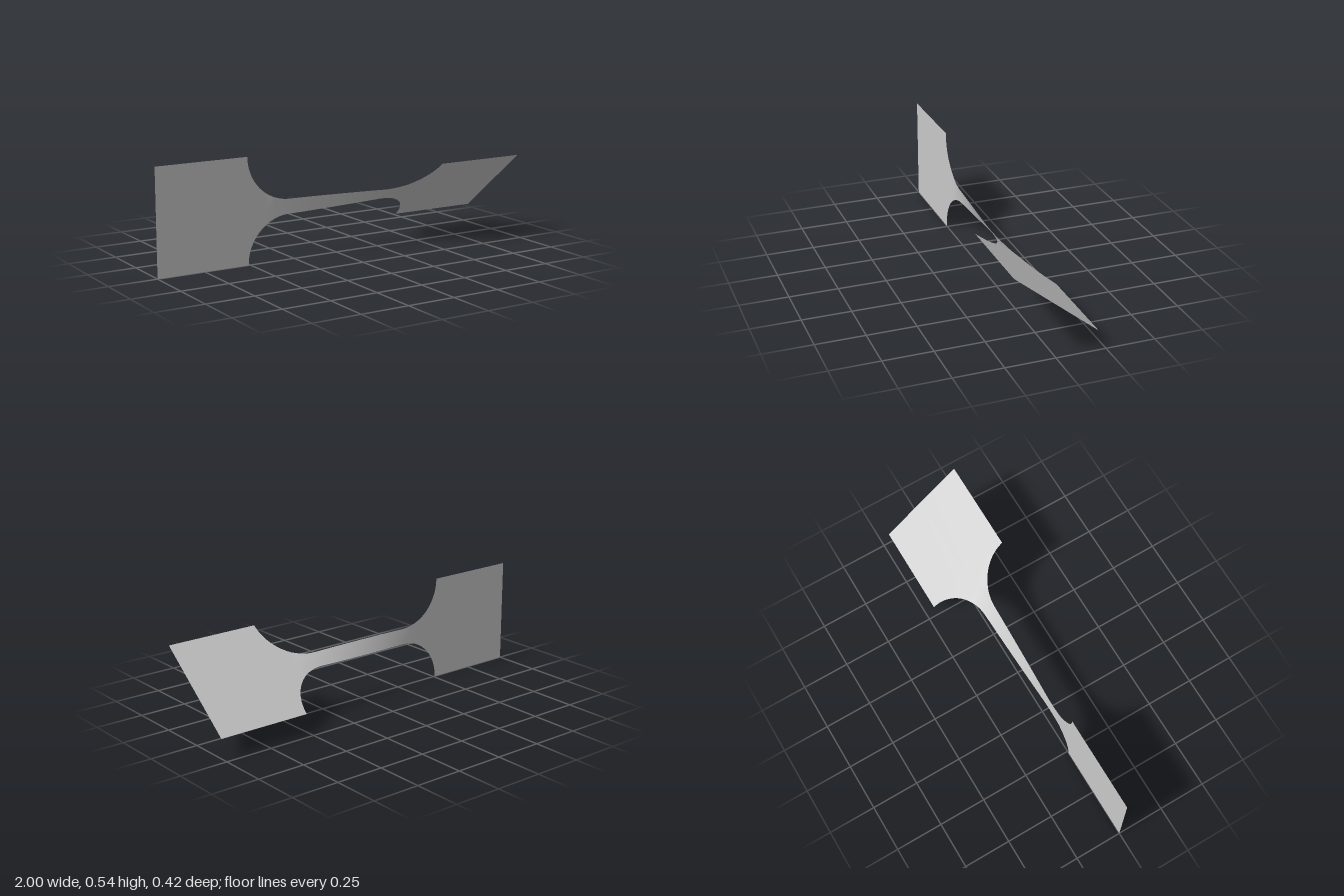
import * as THREE from 'three';

const GRIP = 0.271;   // half width of the end plates
const NECK = 0.04;    // half width of the slim middle
const FILLET = GRIP - NECK;
const FILLET_X = 0.278; // where the neck starts to flare
const TWIST = THREE.MathUtils.degToRad(51);

// Turn of the strip about its long axis: constant at both plates, even between
const twistAt = (x) => TWIST * THREE.MathUtils.clamp((x + 0.4) / 0.8, 0, 1);

// [x, half width] stations from the left end of the strip to the right end
function stations() {
  const half = [[1, GRIP]];
  const steps = 32;
  for (let i = 0; i <= steps; i++) {
    const a = (i / steps) * Math.PI / 2;
    half.push([FILLET_X + FILLET * Math.cos(a), GRIP - FILLET * Math.sin(a)]);
  }
  const list = half.map(([x, w]) => [-x, w]);
  const neckSteps = 32;
  for (let i = 1; i < neckSteps; i++) list.push([-FILLET_X + 2 * FILLET_X * i / neckSteps, NECK]);
  return list.concat(half.reverse());
}

// Thin sheet swept through the stations, each section turned by the twist
function twistedStrip() {
  const columns = 6;
  const pos = [], index = [];
  const list = stations();
  list.forEach(([x, w], i) => {
    const t = twistAt(x);
    for (let j = 0; j <= columns; j++) {
      const s = w * (2 * j / columns - 1);
      pos.push(x, GRIP + s * Math.cos(t), s * Math.sin(t));
      if (i < list.length - 1 && j < columns) {
        const a = i * (columns + 1) + j, b = a + columns + 1;
        index.push(a, b, b + 1, a, b + 1, a + 1);
      }
    }
  });
  const geo = new THREE.BufferGeometry();
  geo.setAttribute('position', new THREE.Float32BufferAttribute(pos, 3));
  geo.setIndex(index);
  geo.computeVertexNormals();
  return geo;
}

export function createModel() {
  const grey = new THREE.MeshStandardMaterial({ color: 0xc8c8c8, side: THREE.DoubleSide });
  grey.name = 'light grey';
  const strip = new THREE.Mesh(twistedStrip(), grey);
  strip.name = 'twistedStrip';
  const model = new THREE.Group();
  model.name = 'twistedTestStrip';
  model.add(strip);
  return model;
}
